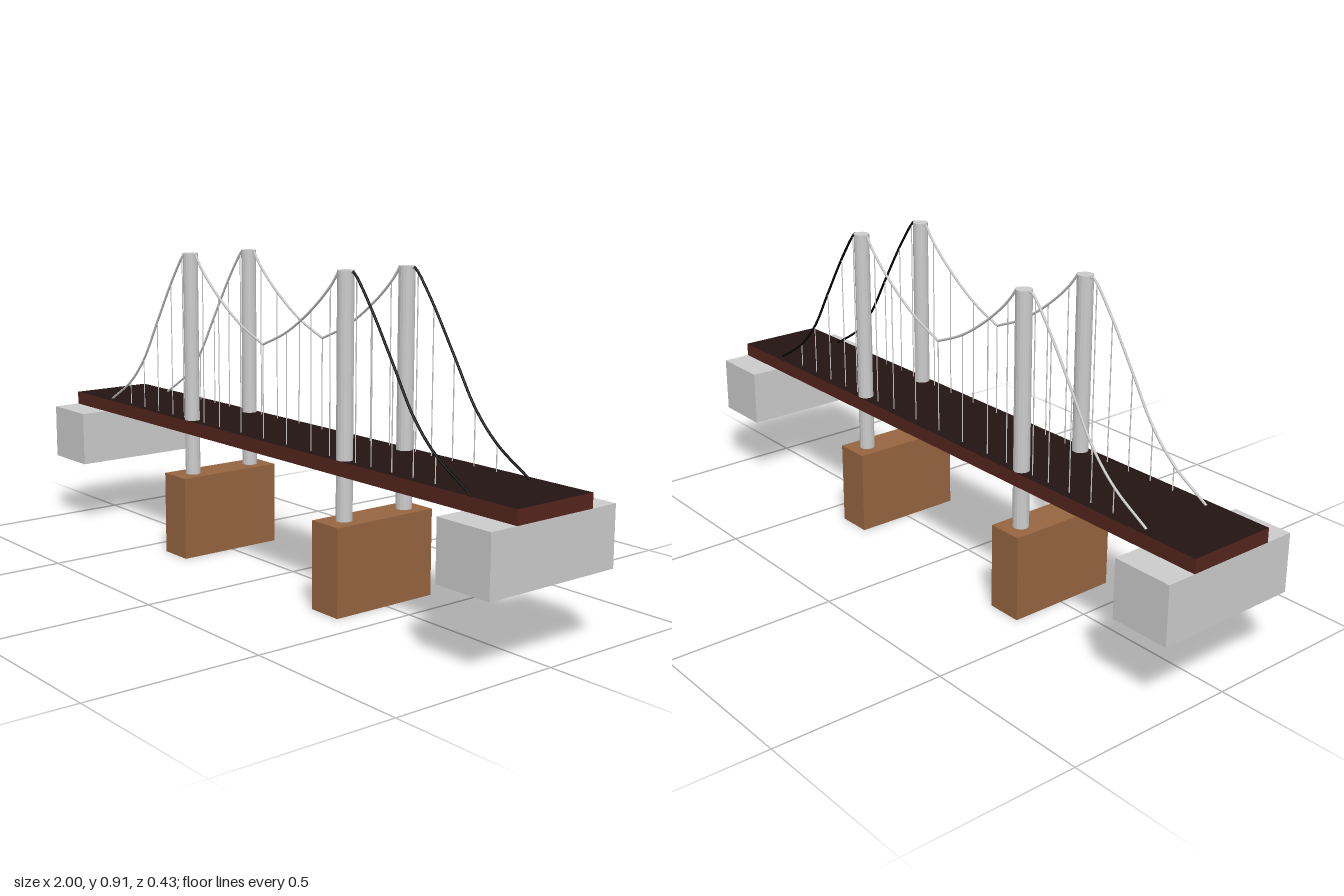
import * as THREE from 'three';

const grey = new THREE.MeshStandardMaterial({ color: 0xcccccc });
const towerGrey = new THREE.MeshStandardMaterial({ color: 0xcccccc, flatShading: true });
const black = new THREE.MeshStandardMaterial({ color: 0x050505 });
const deckBrown = new THREE.MeshStandardMaterial({ color: 0x55251c });
const roadDark = new THREE.MeshStandardMaterial({ color: 0x221412 });
const pierBrown = new THREE.MeshStandardMaterial({ color: 0x966540, side: THREE.DoubleSide });

const DECK_TOP = 0.412, DECK_BOTTOM = 0.372;
const TOWER_X = 0.356, TOWER_Z = 0.107, TOWER_TOP = 0.913;
const PIER_TOP = 0.247;

function add(parent, name, geometry, material, x = 0, y = 0, z = 0) {
  const mesh = new THREE.Mesh(geometry, material);
  mesh.name = name;
  mesh.position.set(x, y, z);
  parent.add(mesh);
  return mesh;
}

// Box without its underside
function openBottomBox(w, h, d) {
  const geometry = new THREE.BoxGeometry(w, h, d);
  const index = Array.from(geometry.index.array);
  index.splice(18, 6);
  geometry.setIndex(index);
  geometry.clearGroups();
  return geometry;
}

// Tube through [x, y] points, mirrored to the chosen side
function cableGeometry(points, side) {
  const path = new THREE.CatmullRomCurve3(points.map(([x, y]) => new THREE.Vector3(side * x, y, 0)));
  return new THREE.TubeGeometry(path, 40, 0.0035, 8);
}

// Cable profiles: each inner point is also a hanger position
const outerCable = [[0.385, 0.911], [0.4, 0.898], [0.462, 0.815], [0.542, 0.69], [0.622, 0.565], [0.702, 0.484], [0.818, 0.412]];
const innerCable = [[0, 0.68], [0.107, 0.726], [0.214, 0.796], [0.294, 0.866], [0.329, 0.909]];

export function createModel() {
  const bridge = new THREE.Group();
  bridge.name = 'suspensionBridge';

  // Deck with a dark road surface on top
  add(bridge, 'deck', new THREE.BoxGeometry(2, DECK_TOP - DECK_BOTTOM, 0.262),
    [deckBrown, deckBrown, roadDark, deckBrown, deckBrown, deckBrown], 0, (DECK_TOP + DECK_BOTTOM) / 2, 0);

  for (const side of [-1, 1]) {
    // Abutment under the deck end, and the pier under the towers
    add(bridge, 'abutment', new THREE.BoxGeometry(0.178, 0.166, 0.432), grey, side * 0.911, 0.289, 0);
    add(bridge, 'pier', openBottomBox(0.106, PIER_TOP, 0.337), pierBrown, side * TOWER_X, PIER_TOP / 2, 0.005);

    for (const z of [-TOWER_Z, TOWER_Z]) {
      const height = TOWER_TOP - PIER_TOP;
      add(bridge, 'tower', new THREE.CylinderGeometry(0.0227, 0.0227, height, 16), towerGrey,
        side * TOWER_X, PIER_TOP + height / 2, z);

      // Main cables, with a short saddle across the tower top
      add(bridge, 'outerCable', cableGeometry(outerCable, side), side > 0 ? black : grey, 0, 0, z);
      add(bridge, 'innerCable', cableGeometry(innerCable, side), grey, 0, 0, z);
      add(bridge, 'cableSaddle', cableGeometry([[0.329, 0.909], [0.385, 0.909]], side), grey, 0, 0, z);

      // Vertical hangers from cable to deck; the middle one is added once
      const hangers = [...outerCable.slice(1, -1), ...innerCable.slice(side > 0 ? 0 : 1, -1)];
      for (const [x, top] of hangers) {
        const length = top - DECK_TOP;
        add(bridge, 'hanger', new THREE.CylinderGeometry(0.0016, 0.0016, length, 6), grey,
          side * x, DECK_TOP + length / 2, z);
      }
    }
  }
  return bridge;
}
